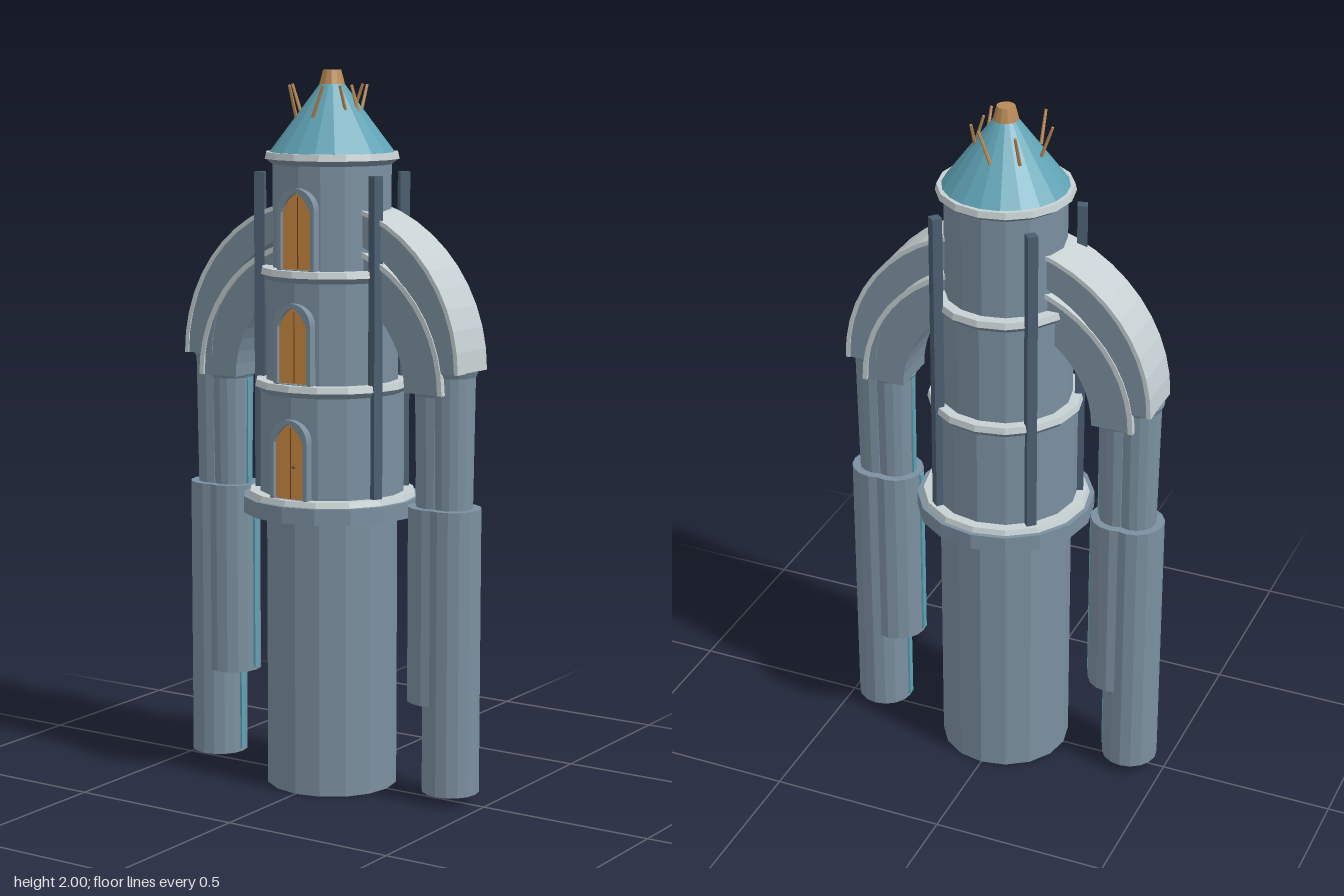
import * as THREE from 'three';

const mat = (name, color) => {
  const m = new THREE.MeshStandardMaterial({ color, flatShading: true });
  m.name = name;
  return m;
};

export function createModel() {
  const stone = mat('blue grey stone', 0x7b90a0);
  const trim = mat('pale trim', 0xc6d0d2);
  const slate = mat('dark slate', 0x4a5e70);
  const teal = mat('teal roof', 0x5fa3b5);
  const amber = mat('amber door', 0xd08c42);
  const bronze = mat('bronze', 0xb98a55);
  const brown = mat('dark brown', 0x6e4a28);

  const root = new THREE.Group();
  root.name = 'tower';
  const add = (name, geo, material, x = 0, y = 0, z = 0, parent = root) => {
    const m = new THREE.Mesh(geo, material);
    m.name = name;
    m.position.set(x, y, z);
    parent.add(m);
    return m;
  };
  // Upright cylinder or frustum given by its bottom and top heights
  const drum = (name, material, rTop, rBottom, y0, y1, sides = 16, x = 0) =>
    add(name, new THREE.CylinderGeometry(rTop, rBottom, y1 - y0, sides), material, x, (y0 + y1) / 2, 0);
  const plate = (shape, depth, curveSegments = 12) =>
    new THREE.ExtrudeGeometry(shape, { depth, bevelEnabled: false, curveSegments });

  // Shaft and gallery
  drum('shaft', stone, 0.185, 0.185, 0, 0.79);
  drum('gallery', stone, 0.25, 0.25, 0.78, 0.825);
  drum('galleryTrim', trim, 0.232, 0.237, 0.825, 0.84);

  // Arched door outlines: round-headed frame with a pointed opening
  const pointed = (Type) => {
    const s = new Type();
    s.moveTo(-0.048, 0);
    s.lineTo(0.048, 0);
    s.lineTo(0.048, 0.155);
    s.quadraticCurveTo(0.035, 0.19, 0, 0.21);
    s.quadraticCurveTo(-0.035, 0.19, -0.048, 0.155);
    s.closePath();
    return s;
  };
  const frame = new THREE.Shape();
  frame.moveTo(-0.06, -0.002);
  frame.lineTo(0.06, -0.002);
  frame.lineTo(0.06, 0.16);
  frame.absarc(0, 0.16, 0.06, 0, Math.PI, false);
  frame.closePath();
  frame.holes.push(pointed(THREE.Path));
  const frameGeo = plate(frame, 0.05);
  const doorGeo = plate(pointed(THREE.Shape), 0.009);

  // Three tiers, each with a ledge and a front door
  [[0.203, 0.83, 1.135, 0.217], [0.185, 1.14, 1.445, 0.2], [0.166, 1.45, 1.76, 0.188]]
    .forEach(([r, y0, y1, ledge], i) => {
      drum('tier', stone, r, r, y0, y1);
      drum('ledgeBase', stone, ledge - 0.003, r, y1 - 0.015, y1, 16);
      drum('ledgeTrim', trim, ledge - 0.004, ledge, y1, y1 + 0.018);
      const yDoor = y0 + (i ? 0.016 : 0.01);
      add('doorFrame', frameGeo, stone, 0, yDoor, r - 0.036);
      add('door', doorGeo, amber, 0, yDoor, r - 0.007);
      add('doorSeam', new THREE.BoxGeometry(0.003, 0.195, 0.002), brown, 0, yDoor + 0.1, r + 0.002);
      if (i === 0) add('doorHandle', new THREE.SphereGeometry(0.005, 8, 6), brown, 0.012, yDoor + 0.09, r + 0.004);
    });

  // Four tall pilasters
  for (const [x, z] of [[0.19, 0.074], [-0.19, 0.074], [0.137, -0.153], [-0.137, -0.153]]) {
    const p = add('pilaster', new THREE.BoxGeometry(0.028, 0.885, 0.028), slate, x, 1.278, z);
    p.rotation.y = Math.atan2(x, z);
  }

  // Nested half-ring arches passing through the tower
  const arch = (name, material, rIn, rOut, y, halfDepth) => {
    const s = new THREE.Shape();
    s.absarc(0, 0, rOut, 0, Math.PI, false);
    s.absarc(0, 0, rIn, Math.PI, 0, true);
    s.closePath();
    add(name, plate(s, halfDepth * 2), material, 0, y, -halfDepth);
  };
  arch('outerArch', stone, 0.36, 0.446, 1.2, 0.073);
  arch('outerArchTrim', trim, 0.44, 0.452, 1.2, 0.077);
  arch('innerArch', stone, 0.28, 0.395, 1.14, 0.07);
  arch('innerArchTrim', trim, 0.388, 0.402, 1.14, 0.077);

  // Paired side columns: wide lower drums, slimmer tapered uppers
  for (const side of [-1, 1]) {
    const ox = side * 0.392, ix = side * 0.343;
    drum('outerColumnBase', stone, 0.08, 0.08, 0.03, 0.825, 16, ox);
    drum('innerColumnBase', stone, 0.08, 0.08, 0.28, 0.825, 16, ix);
    drum('outerColumn', stone, 0.062, 0.057, 0.82, 1.2, 16, ox);
    drum('innerColumn', stone, 0.062, 0.057, 0.82, 1.14, 16, ix);
    drum('outerCapital', stone, 0.07, 0.062, 1.185, 1.202, 16, ox);
    drum('innerCapital', stone, 0.068, 0.06, 1.128, 1.142, 16, ix);
    // Slim teal strips on the inner faces
    for (const [x, y0, y1] of [[0.284, 0.825, 1.14], [0.262, 0.29, 0.82], [0.311, 0.04, 0.28]])
      add('tealStrip', new THREE.BoxGeometry(0.006, y1 - y0, 0.02), teal, side * x, (y0 + y1) / 2, 0);
  }

  // Conical roof, finial and slanted rods
  drum('roof', teal, 0.028, 0.174, 1.775, 1.97, 20);
  drum('finial', bronze, 0.025, 0.035, 1.962, 2, 12);
  const rods = [
    [-0.1, 0, -0.132, 0], [0.09, 0, 0.063, 0],
    [-0.07, 0.072, -0.07, 0.105], [-0.07, -0.072, -0.07, -0.105],
    [0.002, 0.098, 0.036, 0.098], [0.002, -0.098, 0.036, -0.098],
    [0.07, 0.032, 0.07, 0.068], [0.07, -0.032, 0.07, -0.068],
  ];
  for (const [x0, z0, x1, z1] of rods) {
    const a = new THREE.Vector3(x0, 1.873, z0), b = new THREE.Vector3(x1, 1.96, z1);
    const mid = a.clone().add(b).multiplyScalar(0.5);
    const rod = add('roofRod', new THREE.CylinderGeometry(0.004, 0.005, a.distanceTo(b), 6), bronze, mid.x, mid.y, mid.z);
    rod.quaternion.setFromUnitVectors(new THREE.Vector3(0, 1, 0), b.sub(a).normalize());
  }
  return root;
}
